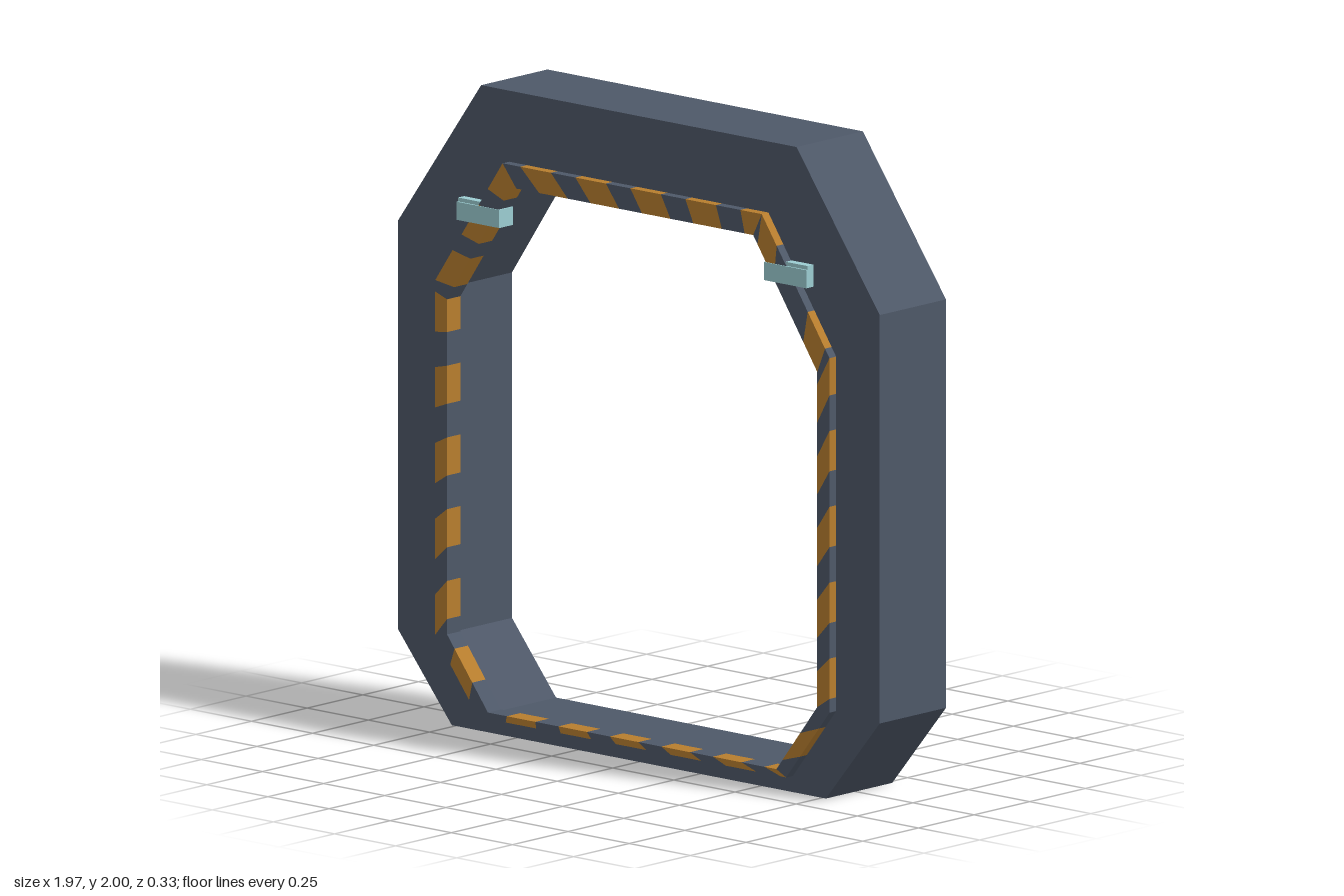
import * as THREE from 'three';

const mat = (name, color) => {
  const m = new THREE.MeshStandardMaterial({ color });
  m.name = name;
  return m;
};

// Octagon from its right half (bottom to top), mirrored, counterclockwise
const octagon = (half) => [
  ...half.map(([x, y]) => new THREE.Vector2(x, y)),
  ...half.slice().reverse().map(([x, y]) => new THREE.Vector2(-x, y)),
];

const slab = (name, shape, z0, z1, material) => {
  const geo = new THREE.ExtrudeGeometry(shape, { depth: z1 - z0, bevelEnabled: false });
  geo.translate(0, 0, z0);
  const mesh = new THREE.Mesh(geo, material);
  mesh.name = name;
  return mesh;
};

export function createModel() {
  const slate = mat('slate', 0x4e5868);
  const orange = mat('hazard orange', 0xb87e2e);
  const teal = mat('pale teal', 0x9ccdd2);
  const model = new THREE.Group();
  model.name = 'gateway';

  // Heavy octagonal frame with its opening
  const frame = new THREE.Shape(octagon([[0.765, 0], [0.985, 0.265], [0.985, 1.53], [0.645, 2]]));
  frame.holes.push(new THREE.Path(octagon([[0.61, 0.06], [0.79, 0.28], [0.79, 1.35], [0.515, 1.755]])));
  model.add(slab('frame', frame, -0.165, 0.133, slate));

  // Striped trim ring around the opening, cut into slanted blocks
  const trim = new THREE.Group();
  trim.name = 'stripedTrim';
  const outer = octagon([[0.63, 0.05], [0.807, 0.277], [0.807, 1.375], [0.53, 1.78]]);
  const inner = octagon([[0.59, 0.07], [0.757, 0.287], [0.757, 1.325], [0.495, 1.71]]);
  // Centre of the first orange stripe, and spacing, along each side
  const sides = [
    [0.13, 0.3], [0.08, 0.235], [0.07, 0.35], [0, 0.225],
    [0.02, 0.19], [0.07, 0.235], [0.14, 0.4], [0.16, 0.225],
  ];
  const width = 0.125;
  sides.forEach(([first, step], i) => {
    const j = (i + 1) % 8;
    const length = outer[i].distanceTo(outer[j]);
    const skew = i === 7 ? 0.015 : 0.025;
    const at = (ring, d) => ring[i].clone().lerp(ring[j], THREE.MathUtils.clamp(d / length, 0, 1));
    const block = (a, b, material) => {
      const corners = [at(outer, a + skew), at(outer, b + skew), at(inner, b - skew), at(inner, a - skew)];
      const points = corners.filter((p, k) => p.distanceTo(corners[(k + 1) % 4]) > 1e-4);
      if (points.length > 2 && Math.abs(THREE.ShapeUtils.area(points)) > 1e-6) {
        trim.add(slab('trimBlock', new THREE.Shape(points), 0.103, 0.163, material));
      }
    };
    let end = -1;
    for (let c = first; c - width / 2 - skew < length; c += step) {
      block(end, c - width / 2, slate);
      block(c - width / 2, c + width / 2, orange);
      end = c + width / 2;
    }
    block(end, length + 1, slate);
  });
  model.add(trim);

  // Clips across the upper corners, each with a low lip on its outer end
  for (const [side, name] of [[1, 'leftClip'], [-1, 'rightClip']]) {
    const clip = new THREE.Group();
    clip.name = name;
    for (const [part, x, y, w, h, z, d] of [
      ['clipBody', 0.628, 1.606, 0.174, 0.056, 0.135, 0.062],
      ['clipLip', 0.67, 1.639, 0.09, 0.014, 0.14, 0.04],
    ]) {
      const mesh = new THREE.Mesh(new THREE.BoxGeometry(w, h, d), teal);
      mesh.name = part;
      mesh.position.set(side * x, y, z);
      clip.add(mesh);
    }
    model.add(clip);
  }
  return model;
}
